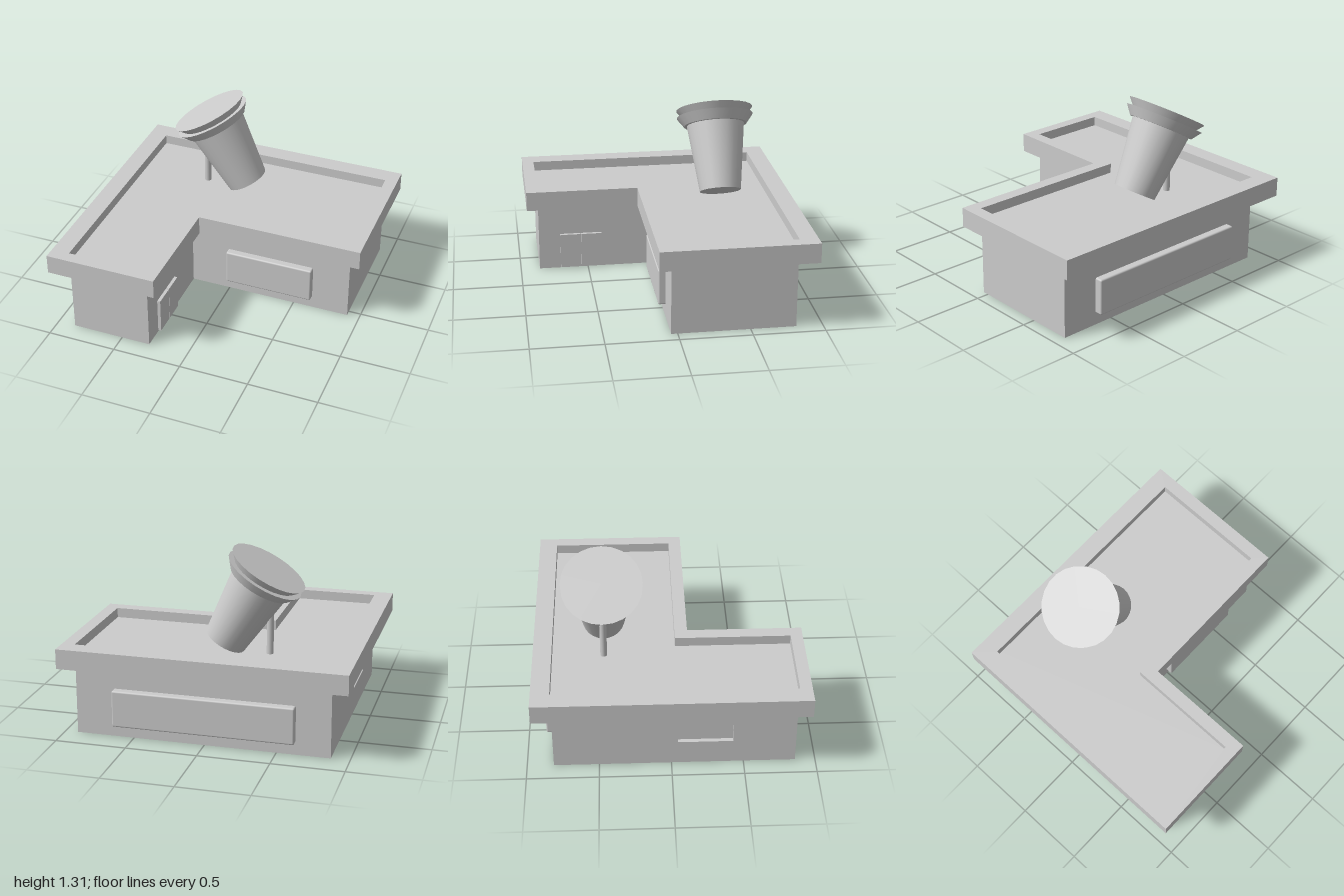
import * as THREE from 'three';
import { RoundedBoxGeometry } from 'three/addons/geometries/RoundedBoxGeometry.js';

const material = new THREE.MeshStandardMaterial({ color: 0xcccccc });

function add(parent, name, geometry, x = 0, y = 0, z = 0) {
  const mesh = new THREE.Mesh(geometry, material);
  mesh.name = name;
  mesh.position.set(x, y, z);
  parent.add(mesh);
  return mesh;
}

// L-shaped plan, its notch at the +x +z corner (shape y is -z)
function planPoints(x0, x1, z0, z1, notchX, notchZ) {
  return [[x0, z0], [x0, z1], [notchX, z1], [notchX, notchZ], [x1, notchZ], [x1, z0]]
    .map(([x, z]) => new THREE.Vector2(x, -z));
}

function rectPoints(x0, x1, y0, y1) {
  return [[x0, y0], [x1, y0], [x1, y1], [x0, y1]].map(([x, y]) => new THREE.Vector2(x, y));
}

function extrude(points, depth, hole) {
  const shape = new THREE.Shape(points);
  if (hole) shape.holes.push(new THREE.Path(hole));
  return new THREE.ExtrudeGeometry(shape, { depth, bevelEnabled: false });
}

export function createModel() {
  const model = new THREE.Group();
  model.name = 'cupRestaurant';

  const deckY = 0.57, recess = 0.03;
  const wallX = -0.87, backZ = -0.815, frontZ = 0.86, notchX = -0.29, notchZ = 0.045;

  // Walls: the top of this block is also the sunken roof deck
  const core = planPoints(wallX + recess, 0.91, backZ, frontZ, notchX, notchZ);
  add(model, 'walls', extrude(core, deckY).rotateX(-Math.PI / 2));

  // Side wall with the opening of the recessed serving window
  const sideWall = extrude(rectPoints(backZ, frontZ, 0, deckY), recess, rectPoints(0.045, 0.425, 0.185, 0.33));
  add(model, 'servingWindowWall', sideWall.rotateY(-Math.PI / 2), wallX + recess);

  // Overhanging roof border
  const outer = planPoints(-1, 1, -0.945, 0.945, -0.2, 0.135);
  const inner = planPoints(wallX, 0.91, backZ, frontZ, notchX, notchZ);
  add(model, 'roofParapet', extrude(outer, 0.14, inner).rotateX(-Math.PI / 2), 0, 0.5, 0);

  // Raised windows with softened edges
  add(model, 'frontWindow', new RoundedBoxGeometry(0.65, 0.26, 0.1, 3, 0.012), 0.315, 0.22, notchZ);
  add(model, 'backWindow', new RoundedBoxGeometry(1.27, 0.26, 0.11, 3, 0.012), 0.005, 0.217, backZ);

  // Double door
  for (const z of [0.4725, 0.6275]) {
    add(model, 'door', new THREE.BoxGeometry(0.04, 0.26, 0.15), -0.287, 0.14, z);
  }

  // Tilted rooftop cup, measured down its axis from the lid
  const cup = new THREE.Group();
  cup.name = 'cup';
  cup.position.set(-0.356, 1.17, -0.455);
  cup.rotation.z = Math.PI / 6;
  model.add(cup);
  const ring = (name, top, bottom, from, to) =>
    add(cup, name, new THREE.CylinderGeometry(top, bottom, to - from, 24), 0, -(from + to) / 2, 0);
  ring('lid', 0.28, 0.235, 0, 0.053);
  ring('lidFlange', 0.28, 0.23, 0.053, 0.12);
  ring('cupBody', 0.21, 0.15, 0.12, 0.607);

  // Pole holding the cup up
  add(model, 'supportPole', new THREE.CylinderGeometry(0.024, 0.024, 0.34, 16), -0.368, deckY + 0.17, -0.455);

  return model;
}
